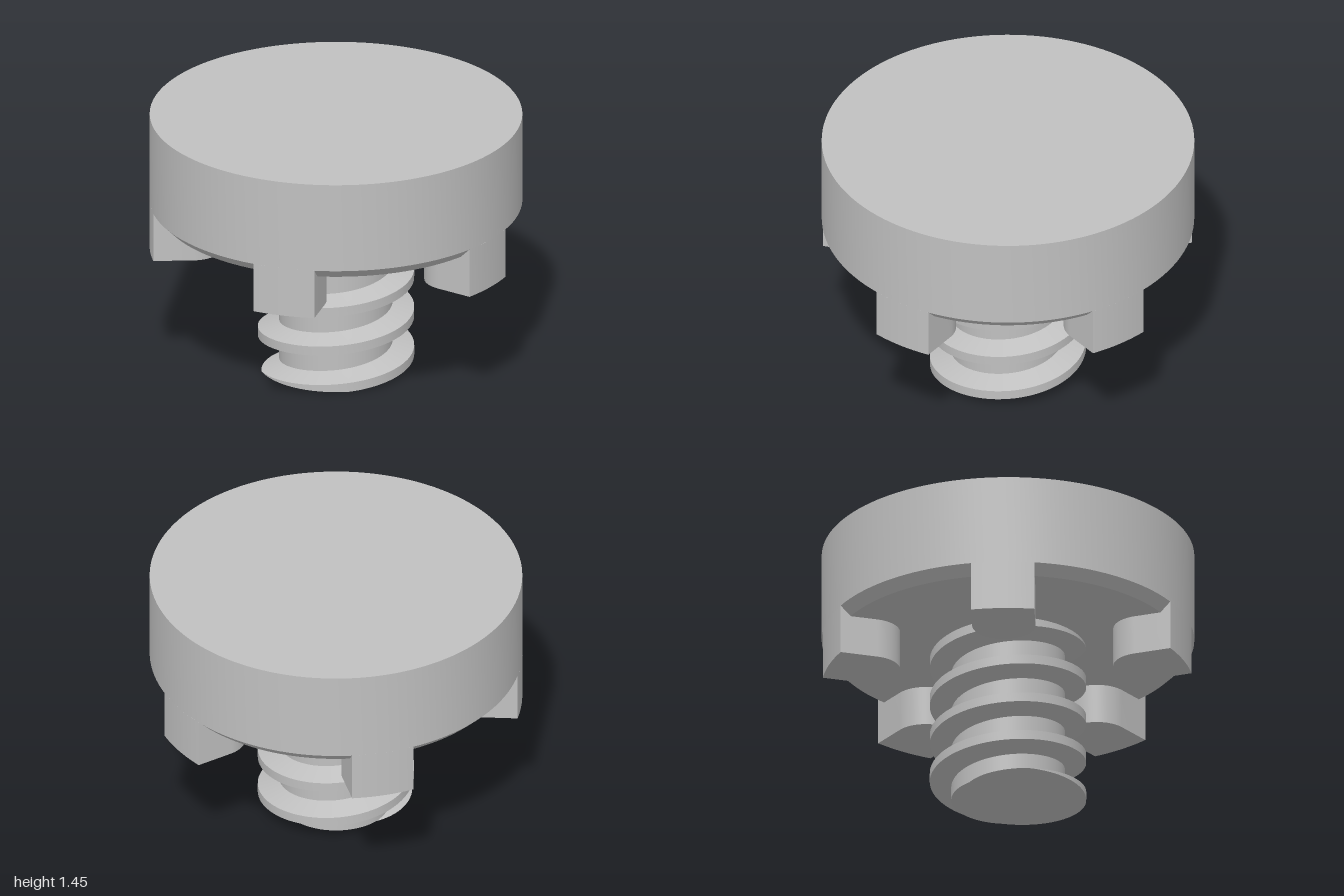
import * as THREE from 'three';
import { toCreasedNormals } from 'three/addons/utils/BufferGeometryUtils.js';

const CREASE = 0.25;

// Disc head with a chamfered lower rim
function headGeometry() {
  const profile = [[0, 0.89], [0.945, 0.89], [1, 0.945], [1, 1.445], [0, 1.445]]
    .map(([r, y]) => new THREE.Vector2(r, y));
  return toCreasedNormals(new THREE.LatheGeometry(profile, 128), CREASE);
}

// Lug outline: curved outer face, parallel sides, round inner end
function lugGeometry() {
  const w = 0.17, capCentre = 0.78, a = Math.acos(w);
  const shape = new THREE.Shape();
  shape.moveTo(w, Math.sin(a));
  shape.absarc(0, 0, 1, a, Math.PI - a, false);
  shape.lineTo(-w, capCentre);
  shape.absarc(0, capCentre, w, Math.PI, Math.PI * 2, false);
  shape.closePath();
  const geo = new THREE.ExtrudeGeometry(shape, { depth: 0.275, bevelEnabled: false, curveSegments: 24 });
  geo.rotateX(-Math.PI / 2);
  geo.translate(0, 0.67, 0);
  return toCreasedNormals(geo, CREASE);
}

// Helical trapezoid ridge, cut flat at y = 0
function threadGeometry() {
  const pitch = 0.2235, phaseY = 0.21, steps = 96;
  const rRoot = 0.3, rCrest = 0.42, hRoot = 0.063, hCrest = 0.026;
  const startY = -hRoot, endY = 0.99;
  const count = Math.ceil((endY - startY) / pitch * steps);
  const pos = [], index = [];
  for (let i = 0; i <= count; i++) {
    const y = startY + (endY - startY) * i / count;
    const t = (y - phaseY) / pitch * Math.PI * 2;
    // Pull the crest in where the upper flank meets the cut
    let r = rCrest;
    if (y + hCrest < 0) r = rRoot + (rCrest - rRoot) * Math.max(0, y + hRoot) / (hRoot - hCrest);
    const ring = [[rRoot, y - hRoot], [r, y - hCrest], [r, y + hCrest], [rRoot, y + hRoot]];
    for (const [pr, py] of ring) pos.push(pr * Math.sin(t), Math.max(0, py), pr * Math.cos(t));
    if (i === count) continue;
    for (let j = 0; j < 3; j++) {
      const a = i * 4 + j, b = a + 4;
      index.push(a, b, a + 1, b, b + 1, a + 1);
    }
  }
  const geo = new THREE.BufferGeometry();
  geo.setAttribute('position', new THREE.Float32BufferAttribute(pos, 3));
  geo.setIndex(index);
  return toCreasedNormals(geo, CREASE);
}

export function createModel() {
  const model = new THREE.Group();
  model.name = 'threadedCap';
  const grey = new THREE.MeshStandardMaterial({ color: 0xc0c0c0 });
  grey.name = 'plain grey';

  const add = (name, geometry) => {
    const mesh = new THREE.Mesh(geometry, grey);
    mesh.name = name;
    model.add(mesh);
    return mesh;
  };

  add('head', headGeometry());

  // Five lugs around the rim, the first at the back
  const lug = lugGeometry();
  for (let k = 0; k < 5; k++) add('lug' + (k + 1), lug).rotation.y = k * Math.PI * 2 / 5;

  // Screw shaft and its thread
  add('shaft', new THREE.CylinderGeometry(0.305, 0.305, 0.9, 96)).position.y = 0.45;
  add('thread', threadGeometry());

  return model;
}
